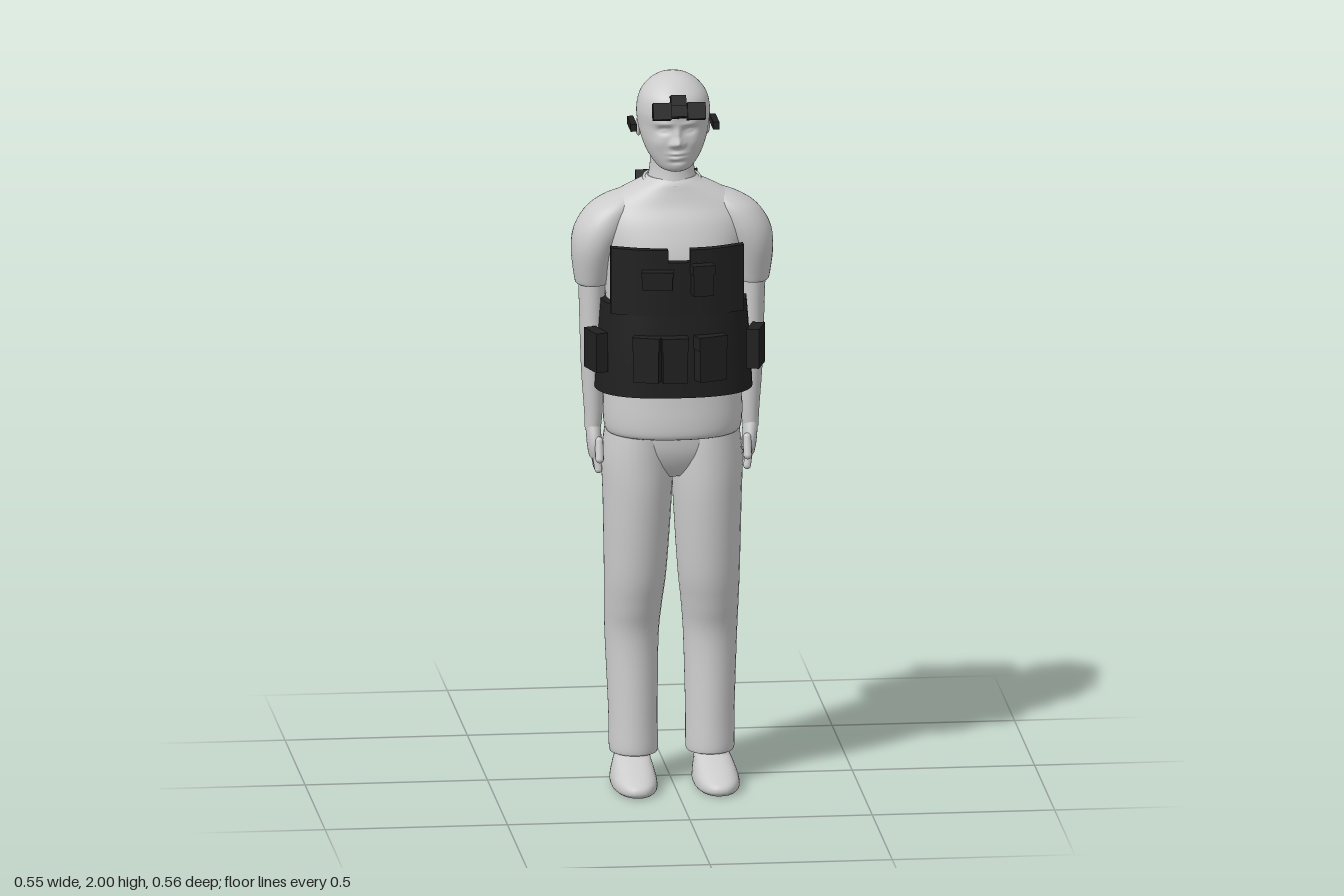
import * as THREE from 'three';
import { RoundedBoxGeometry } from 'three/addons/geometries/RoundedBoxGeometry.js';

const grey = new THREE.MeshStandardMaterial({ color: 0xcccccc });
grey.name = 'light grey';
const black = new THREE.MeshStandardMaterial({ color: 0x202020 });
black.name = 'black';

// Smooth body through horizontal sections [y, x0, x1, z0, z1], lowest first; pow < 1 is boxier
function loft(rows, { pow = 1, n = 32, steps = 5 } = {}) {
  const rings = [];
  const cat = (a, b, c, d, t) =>
    0.5 * (2 * b + (c - a) * t + (2 * a - 5 * b + 4 * c - d) * t * t + (3 * b - a - 3 * c + d) * t * t * t);
  const last = rows.length - 1;
  for (let i = 0; i < last; i++) {
    for (let s = 0; s < steps; s++) {
      const [a, b, c, d] = [i - 1, i, i + 1, i + 2].map(k => rows[Math.min(last, Math.max(0, k))]);
      rings.push(b.map((_, k) => cat(a[k], b[k], c[k], d[k], s / steps)));
    }
  }
  rings.push(rows[last]);
  const pos = [], idx = [];
  const addRing = ([y, x0, x1, z0, z1]) => {
    for (let j = 0; j < n; j++) {
      const t = (j / n) * Math.PI * 2, c = Math.cos(t), s = Math.sin(t);
      pos.push((x0 + x1) / 2 + (x1 - x0) / 2 * Math.sign(c) * Math.abs(c) ** pow, y,
        (z0 + z1) / 2 + (z1 - z0) / 2 * Math.sign(s) * Math.abs(s) ** pow);
    }
  };
  rings.forEach(addRing);
  for (let i = 0; i < rings.length - 1; i++) {
    for (let j = 0; j < n; j++) {
      const a = i * n + j, b = i * n + (j + 1) % n;
      idx.push(a, a + n, b, b, a + n, b + n);
    }
  }
  // end caps
  for (const [r, up] of [[rings[0], false], [rings[rings.length - 1], true]]) {
    const base = pos.length / 3;
    addRing(r);
    pos.push((r[1] + r[2]) / 2, r[0], (r[3] + r[4]) / 2);
    for (let j = 0; j < n; j++) {
      const a = base + j, b = base + (j + 1) % n;
      if (up) idx.push(base + n, b, a); else idx.push(base + n, a, b);
    }
  }
  const g = new THREE.BufferGeometry();
  g.setAttribute('position', new THREE.Float32BufferAttribute(pos, 3));
  g.setIndex(idx);
  g.computeVertexNormals();
  return g;
}
// Symmetric sections [y, halfWidth, z0, z1]
const sym = rows => rows.map(([y, x, z0, z1]) => [y, -x, x, z0, z1]);

// Upright curved plate along a smooth [x, z] path; thickness grows towards +z or -z
function plate(path, thick, y0, y1) {
  const pts = new THREE.SplineCurve(path.map(p => new THREE.Vector2(p[0], -p[1]))).getPoints(20);
  const back = pts.map(p => new THREE.Vector2(p.x, p.y - thick)).reverse();
  const g = new THREE.ExtrudeGeometry(new THREE.Shape([...pts, ...back]), { depth: y1 - y0, bevelEnabled: false });
  return g.rotateX(-Math.PI / 2).translate(0, y0, 0);
}

export function createModel() {
  const model = new THREE.Group();
  const add = (name, geo, mat = grey, parent = model) => {
    const m = new THREE.Mesh(geo, mat);
    m.name = name;
    parent.add(m);
    return m;
  };
  const box = (name, w, h, d, x, y, z, ry = 0, rx = 0, parent = model) => {
    const m = add(name, new THREE.BoxGeometry(w, h, d), black, parent);
    m.position.set(x, y, z);
    m.rotation.set(rx, ry, 0);
    return m;
  };

  // Head, with the face shaped by soft bumps [x, y, width, height, depth]
  const head = loft(sym([
    [1.737, 0.022, 0.11, 0.163], [1.748, 0.046, 0.075, 0.178], [1.78, 0.071, 0.03, 0.186],
    [1.82, 0.088, 0.0, 0.189], [1.86, 0.097, -0.025, 0.19], [1.9, 0.1, -0.031, 0.195],
    [1.94, 0.092, -0.02, 0.186], [1.97, 0.071, 0.002, 0.158], [1.99, 0.042, 0.03, 0.125], [2.0, 0.008, 0.068, 0.085],
  ]), { n: 96, steps: 10, pow: 0.95 });
  const bumps = [
    [0, 1.824, 0.012, 0.012, 0.026], [0, 1.845, 0.008, 0.02, 0.012], [0.015, 1.819, 0.007, 0.007, 0.008],
    [0.035, 1.858, 0.017, 0.01, -0.013], [0.035, 1.857, 0.011, 0.005, 0.007], [0.035, 1.877, 0.022, 0.006, 0.005],
    [0, 1.793, 0.02, 0.005, 0.008], [0, 1.78, 0.017, 0.005, 0.008], [0, 1.7865, 0.022, 0.002, -0.004],
    [0, 1.768, 0.02, 0.005, -0.005], [0.05, 1.82, 0.02, 0.02, 0.004],
  ];
  const p = head.attributes.position;
  for (let i = 0; i < p.count; i++) {
    if (p.getZ(i) < 0.1) continue;
    let z = p.getZ(i);
    for (const [bx, by, w, h, d] of bumps)
      z += d * Math.exp(-(((Math.abs(p.getX(i)) - bx) / w) ** 2) - ((p.getY(i) - by) / h) ** 2);
    p.setZ(i, z);
  }
  head.computeVertexNormals();
  add('head', head);
  add('neck', loft(sym([[1.64, 0.085, -0.04, 0.13], [1.69, 0.068, -0.022, 0.118],
    [1.74, 0.06, -0.01, 0.112], [1.81, 0.062, -0.005, 0.12]])));

  // Shirt and hips
  add('shirt', loft(sym([
    [0.99, 0.172, -0.065, 0.195], [1.0, 0.185, -0.076, 0.21], [1.04, 0.19, -0.074, 0.213], [1.12, 0.188, -0.066, 0.208],
    [1.25, 0.18, -0.06, 0.203], [1.4, 0.185, -0.07, 0.202], [1.5, 0.195, -0.073, 0.195], [1.58, 0.205, -0.07, 0.17],
    [1.63, 0.19, -0.06, 0.143], [1.665, 0.135, -0.043, 0.13], [1.69, 0.085, -0.028, 0.122], [1.703, 0.067, -0.02, 0.112],
  ]), { pow: 0.9, n: 48 }));
  add('hips', loft(sym([[0.87, 0.06, -0.02, 0.12], [0.9, 0.14, -0.045, 0.145], [0.95, 0.185, -0.06, 0.165],
    [1.02, 0.182, -0.068, 0.172]]), { pow: 0.9 }));

  // Collar seam
  const collar = add('collar', new THREE.TorusGeometry(0.072, 0.005, 8, 40));
  collar.scale.set(1.05, 1, 1);
  collar.rotation.x = Math.PI / 2 + 0.13;
  collar.position.set(0, 1.694, 0.048);

  // Limbs, modelled on the +x side and mirrored by negating the sections
  for (const s of [1, -1]) {
    const side = s > 0 ? 'left' : 'right';
    const mir = rows => s > 0 ? rows : rows.map(([y, x0, x1, ...z]) => [y, -x1, -x0, ...z]);
    add(side + 'TrouserLeg', loft(mir([
      [0.085, 0.042, 0.165, -0.03, 0.118], [0.1, 0.038, 0.172, -0.032, 0.122], [0.2, 0.038, 0.173, -0.04, 0.116],
      [0.4, 0.034, 0.181, -0.06, 0.107], [0.5, 0.026, 0.184, -0.058, 0.128], [0.6, 0.015, 0.186, -0.05, 0.15],
      [0.8, 0.002, 0.19, -0.056, 0.17], [0.92, -0.002, 0.193, -0.068, 0.172], [1.02, 0.005, 0.18, -0.07, 0.168],
    ])));
    add(side + 'Shoe', loft(mir([
      [0, 0.06, 0.164, -0.024, 0.25], [0.01, 0.051, 0.174, -0.03, 0.265], [0.03, 0.051, 0.174, -0.03, 0.258],
      [0.05, 0.055, 0.168, -0.028, 0.215], [0.07, 0.06, 0.16, -0.025, 0.155], [0.09, 0.065, 0.15, -0.02, 0.105],
      [0.14, 0.07, 0.145, -0.01, 0.09],
    ]), { pow: 0.85 }));
    add(side + 'Sleeve', loft(mir([
      [1.405, 0.178, 0.262, -0.004, 0.106], [1.42, 0.172, 0.268, -0.008, 0.112], [1.5, 0.15, 0.277, -0.026, 0.135],
      [1.56, 0.12, 0.269, -0.036, 0.14], [1.61, 0.1, 0.238, -0.036, 0.13], [1.64, 0.09, 0.195, -0.025, 0.11],
      [1.66, 0.09, 0.145, 0.0, 0.08],
    ])));
    add(side + 'Arm', loft(mir([
      [0.99, 0.195, 0.238, 0.018, 0.072], [1.04, 0.19, 0.24, 0.018, 0.076], [1.15, 0.186, 0.248, 0.01, 0.085],
      [1.25, 0.183, 0.252, 0.004, 0.094], [1.33, 0.184, 0.254, 0.0, 0.096], [1.45, 0.182, 0.258, 0.0, 0.1],
    ]), { n: 24 }));
    add(side + 'Hand', loft(mir([
      [0.915, 0.196, 0.226, 0.008, 0.08], [0.94, 0.193, 0.231, 0.002, 0.088], [0.97, 0.193, 0.234, 0.008, 0.086],
      [1.01, 0.196, 0.237, 0.019, 0.071],
    ]), { n: 24 }));
    for (let i = 0; i < 4; i++) {
      const f = add(side + 'Finger', new THREE.CapsuleGeometry(0.0105, 0.045, 4, 10));
      f.position.set(s * 0.207, 0.906 + (i === 0 ? 0.008 : 0), 0.008 + i * 0.021);
      f.rotation.set((1.5 - i) * 0.12, 0, -s * 0.15);
    }
    const thumb = add(side + 'Thumb', new THREE.CapsuleGeometry(0.0115, 0.05, 4, 10));
    thumb.position.set(s * 0.203, 0.942, 0.09);
    thumb.rotation.x = -0.3;
    const ear = add(side + 'Ear', new THREE.SphereGeometry(0.024, 16, 12));
    ear.scale.set(0.35, 1.1, 0.7);
    ear.position.set(s * 0.094, 1.845, 0.07);
    box(side + 'Earpiece', 0.017, 0.021, 0.095, s * 0.113, 1.855, 0.083);
  }

  // Vest: wrap-around belt, chest and back plates with notched tops
  const vest = new THREE.Group();
  vest.name = 'vest';
  model.add(vest);
  add('waistWrap', loft(sym([[1.12, 0.216, -0.09, 0.242], [1.25, 0.209, -0.092, 0.242], [1.37, 0.2, -0.097, 0.238]]),
    { pow: 0.8, n: 48 }), black, vest);
  const chest = [[-0.182, 0.165], [-0.1, 0.201], [-0.03, 0.212], [0.03, 0.212], [0.1, 0.201], [0.182, 0.165]];
  const back = [[-0.18, -0.045], [-0.09, -0.08], [-0.03, -0.068], [0.03, -0.068], [0.09, -0.08], [0.18, -0.045]];
  for (const [name, path, t, y0, y1, y2] of [['chest', chest, 0.027, 1.35, 1.5, 1.535], ['back', back, -0.025, 1.35, 1.55, 1.58]]) {
    // reversed path keeps the outline turning the same way for both plates
    const line = t < 0 ? [...path].reverse() : path;
    add(name + 'Plate', plate(line, t, y0, y1), black, vest);
    add(name + 'PlateTop', plate(line.slice(0, 3), t, y1, y2), black, vest);
    add(name + 'PlateTop', plate(line.slice(3), t, y1, y2), black, vest);
  }
  // Leaning neck handle
  const handle = add('neckHandle', plate([[0.085, -0.01], [0.04, 0.003], [0, 0.006], [-0.04, 0.003], [-0.085, -0.01]],
    -0.01, 0, 0.075), black, vest);
  handle.position.set(0, 1.612, -0.06);
  handle.rotation.x = -0.22;

  // Pouches: [x, y, z, width, height, turn]
  for (const [x, y, z, w, h, ry] of [
    [-0.088, 1.232, 0.243, 0.07, 0.125, -0.35], [-0.015, 1.232, 0.258, 0.068, 0.125, 0], [0.085, 1.232, 0.243, 0.08, 0.125, 0.35],
    [-0.06, 1.455, 0.248, 0.082, 0.05, -0.15], [0.062, 1.453, 0.248, 0.056, 0.085, 0.15],
  ]) {
    const pouch = new THREE.Group();
    pouch.name = 'frontPouch';
    pouch.position.set(x, y, z);
    pouch.rotation.y = ry;
    vest.add(pouch);
    box('pouchBody', w, h, 0.036, 0, 0, 0, 0, 0, pouch);
    box('pouchFlap', w + 0.006, h * 0.3, 0.042, 0, h * 0.36, 0, 0, 0, pouch);
  }
  for (const s of [1, -1]) box('sidePouch', 0.035, 0.11, 0.085, s * 0.219, 1.24, 0.15, -s * 0.3, 0, vest);

  // Brow-mounted goggles
  const goggles = new THREE.Group();
  goggles.name = 'goggles';
  goggles.position.set(0, 1.926, 0.22);
  goggles.rotation.x = -0.35;
  model.add(goggles);
  box('bridge', 0.145, 0.032, 0.022, 0, -0.005, 0.005, 0, 0, goggles);
  box('mount', 0.042, 0.062, 0.03, 0, 0.008, -0.005, 0, 0, goggles);
  for (const s of [1, -1]) box('eyepiece', 0.05, 0.046, 0.034, s * 0.047, -0.006, 0.008, 0, 0, goggles);

  // Backpack
  const pack = new THREE.Group();
  pack.name = 'backpack';
  model.add(pack);
  add('packBody', loft(sym([
    [1.17, 0.09, -0.235, -0.125], [1.182, 0.112, -0.25, -0.112], [1.22, 0.131, -0.26, -0.106], [1.3, 0.14, -0.263, -0.104],
    [1.45, 0.14, -0.257, -0.104], [1.51, 0.134, -0.252, -0.106], [1.55, 0.115, -0.243, -0.113], [1.568, 0.085, -0.225, -0.13],
  ]), { pow: 0.55, n: 48 }), grey, pack);
  add('packRim', new RoundedBoxGeometry(0.268, 0.027, 0.16, 2, 0.004), grey, pack).position.set(0, 1.498, -0.19);
  add('packPocket', new RoundedBoxGeometry(0.185, 0.21, 0.06, 5, 0.024), grey, pack).position.set(0, 1.32, -0.251);
  return model;
}
